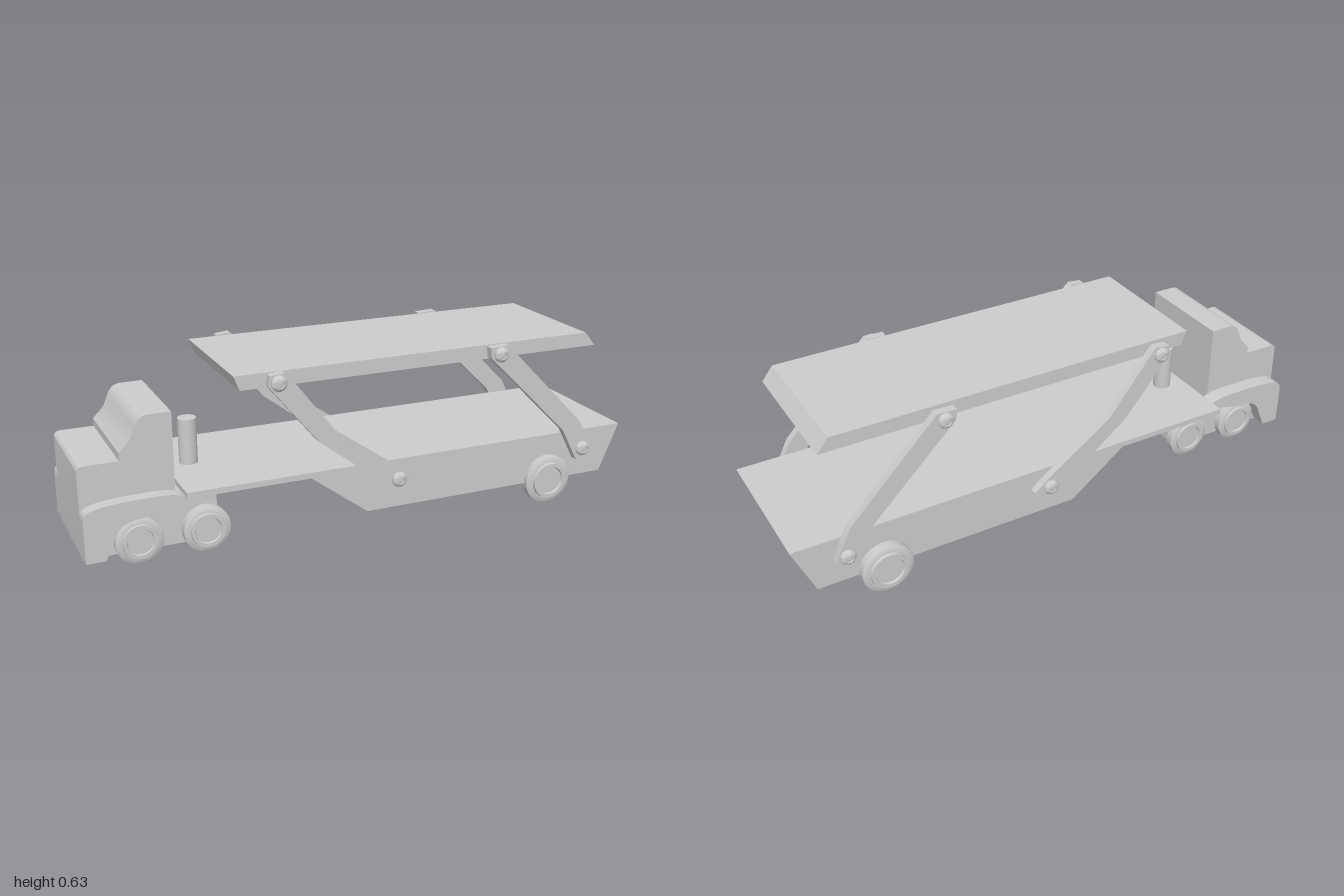
import * as THREE from 'three';
import { toCreasedNormals } from 'three/addons/utils/BufferGeometryUtils.js';

const grey = new THREE.MeshStandardMaterial({ color: 0xcccccc });

function outline(points) {
  return new THREE.Shape(points.map(([x, y]) => new THREE.Vector2(x, y)));
}

// Side profile (x, y) extruded between two z positions
function slab(name, shape, z0, z1) {
  const geo = new THREE.ExtrudeGeometry(shape, { depth: z1 - z0, bevelEnabled: false, curveSegments: 8 });
  geo.translate(0, 0, z0);
  const mesh = new THREE.Mesh(toCreasedNormals(geo, 0.6), grey);
  mesh.name = name;
  return mesh;
}

// Turned part: [radius, distance] profile, pointing outwards along z on the given side
function turned(name, profile, x, y, z, side) {
  const geo = new THREE.LatheGeometry(profile.map(([r, d]) => new THREE.Vector2(r, d)), 32);
  const mesh = new THREE.Mesh(toCreasedNormals(geo, 0.6), grey);
  mesh.name = name;
  mesh.rotation.x = side * Math.PI / 2;
  mesh.position.set(x, y, z);
  return mesh;
}

// Tyre with a raised rim and a recessed hub
function wheelProfile(r, w) {
  return [
    [0, 0], [r * 0.96, 0], [r, 0.004], [r, w * 0.7], [r * 0.94, w * 0.78], [r * 0.74, w * 0.82],
    [r * 0.72, w], [r * 0.57, w], [r * 0.54, w * 0.86], [0, w * 0.86],
  ];
}

export function createModel() {
  const model = new THREE.Group();
  model.name = 'carTransporter';

  // Trailer bed with raised gooseneck
  model.add(slab('trailerBed', outline([
    [-0.665, 0.24], [-0.235, 0.24], [-0.03, 0.085], [0.925, 0.085], [1, 0.26], [-0.665, 0.26],
  ]), -0.259, 0.259));

  // Upper deck
  model.add(slab('upperDeck', outline([
    [-0.475, 0.575], [0.87, 0.575], [0.83, 0.625], [-0.495, 0.625],
  ]), -0.238, 0.252));

  // Cab and chassis in one side profile
  const cab = new THREE.Shape();
  cab.moveTo(-1, 0.07);
  cab.lineTo(-0.553, 0.07);
  cab.lineTo(-0.553, 0.236);
  cab.lineTo(-0.69, 0.236);
  cab.lineTo(-0.69, 0.525);
  cab.lineTo(-0.765, 0.525);
  cab.quadraticCurveTo(-0.795, 0.525, -0.81, 0.493);
  cab.lineTo(-0.828, 0.45);
  cab.lineTo(-0.865, 0.412);
  cab.lineTo(-0.865, 0.385);
  cab.lineTo(-0.975, 0.385);
  cab.quadraticCurveTo(-1, 0.385, -1, 0.365);
  cab.closePath();
  model.add(slab('cab', cab, -0.147, 0.215));

  // Mudguards
  const guard = new THREE.Shape();
  guard.moveTo(-1, 0.075);
  guard.lineTo(-0.935, 0.075);
  guard.lineTo(-0.9, 0.155);
  guard.quadraticCurveTo(-0.885, 0.19, -0.84, 0.197);
  guard.quadraticCurveTo(-0.74, 0.208, -0.67, 0.232);
  guard.lineTo(-0.67, 0.25);
  guard.quadraticCurveTo(-0.7, 0.265, -0.76, 0.266);
  guard.lineTo(-0.86, 0.265);
  guard.quadraticCurveTo(-0.94, 0.262, -0.975, 0.25);
  guard.quadraticCurveTo(-1, 0.243, -1, 0.215);
  guard.closePath();
  model.add(slab('leftMudguard', guard, 0.215, 0.262));
  model.add(slab('rightMudguard', guard, -0.203, -0.147));

  // Hitch post standing on the chassis
  const post = new THREE.Mesh(new THREE.CylinderGeometry(0.032, 0.032, 0.186, 32), grey);
  post.name = 'hitchPost';
  post.position.set(-0.58, 0.327, -0.006);
  model.add(post);

  // Lifting arms: outline plus upper and lower pivot
  const arms = [
    {
      name: 'frontArm',
      shape: outline([
        [-0.39, 0.585], [-0.217, 0.375], [0.035, 0.18], [0.105, 0.157], [0.138, 0.19],
        [0.085, 0.235], [-0.155, 0.402], [-0.32, 0.615], [-0.335, 0.627], [-0.385, 0.622],
      ]),
      pivots: [[-0.355, 0.595], [0.077, 0.198]],
    },
    {
      name: 'rearArm',
      shape: outline([
        [0.425, 0.585], [0.735, 0.28], [0.8, 0.157], [0.862, 0.185],
        [0.84, 0.237], [0.805, 0.305], [0.49, 0.625], [0.42, 0.622],
      ]),
      pivots: [[0.462, 0.595], [0.823, 0.198]],
    },
  ];
  const boltProfile = [
    [0, 0], [0.027, 0], [0.027, 0.008], [0.021, 0.016], [0.014, 0.019], [0.013, 0.014], [0, 0.014],
  ];

  for (const side of [1, -1]) {
    const label = side > 0 ? 'left' : 'right';
    for (const arm of arms) {
      const z = side * 0.272;
      model.add(slab(`${label} ${arm.name}`, arm.shape, z - 0.0145, z + 0.0145));
      for (const [x, y] of arm.pivots) {
        model.add(turned(`${label} ${arm.name} pivot`, boltProfile, x, y, side * 0.285, side));
        // Pin joining the arm to the deck or bed
        model.add(turned(`${label} ${arm.name} pin`, [[0, 0], [0.012, 0], [0.012, 0.055], [0, 0.055]],
          x, y, side * 0.23, side));
      }
    }
    // Tractor wheels, centred on the cab
    for (const x of [-0.82, -0.595]) {
      model.add(turned(`${label} tractorWheel`, wheelProfile(0.08, 0.044), x, 0.114,
        0.034 + side * 0.176, side));
    }
    // Trailer wheel
    model.add(turned(`${label} trailerWheel`, wheelProfile(0.091, 0.053), 0.69, 0.092,
      -0.005 + side * 0.245, side));
  }

  return model;
}
